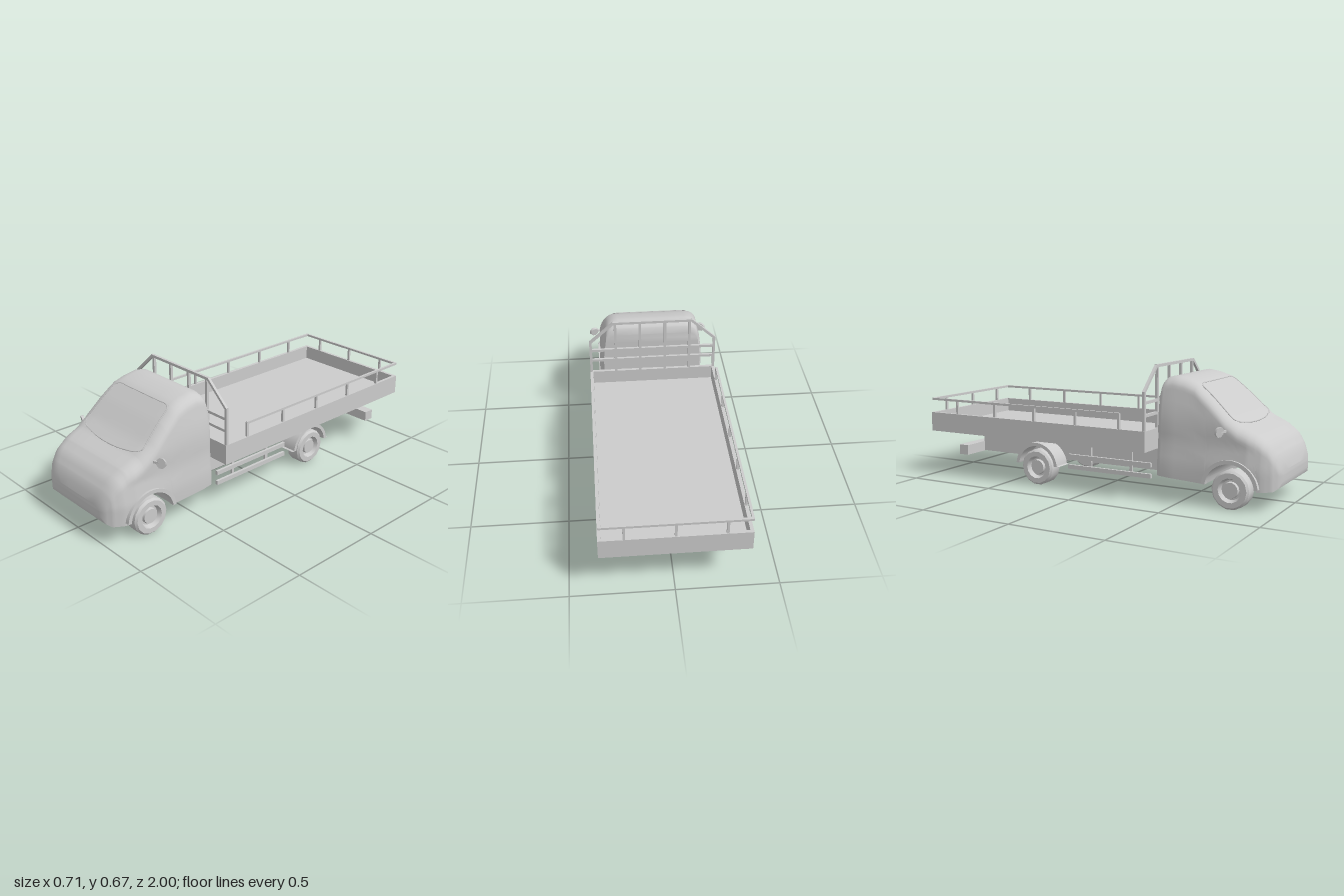
import * as THREE from 'three';
import { toCreasedNormals } from 'three/addons/utils/BufferGeometryUtils.js';

const material = new THREE.MeshStandardMaterial({ color: 0xcccccc, side: THREE.DoubleSide });

function add(parent, name, geometry, x = 0, y = 0, z = 0) {
  const mesh = new THREE.Mesh(geometry, material);
  mesh.name = name;
  mesh.position.set(x, y, z);
  parent.add(mesh);
  return mesh;
}

// box given by its limits on each axis
function box(parent, name, x0, x1, y0, y1, z0, z1) {
  return add(parent, name, new THREE.BoxGeometry(x1 - x0, y1 - y0, z1 - z0),
    (x0 + x1) / 2, (y0 + y1) / 2, (z0 + z1) / 2);
}

// straight square bar between two points
function bar(parent, name, a, b, t = 0.012) {
  const p = new THREE.Vector3(...a), q = new THREE.Vector3(...b);
  const mesh = new THREE.Mesh(new THREE.BoxGeometry(t, t, p.distanceTo(q) + t * 0.6), material);
  mesh.name = name;
  mesh.position.copy(p).lerp(q, 0.5);
  mesh.lookAt(q);
  parent.add(mesh);
}

// piecewise linear curve through [position, value] pairs
function curve(points, s) {
  if (s <= points[0][0]) return points[0][1];
  for (let i = 1; i < points.length; i++) {
    const [a, va] = points[i - 1], [b, vb] = points[i];
    if (s <= b) return va + (vb - va) * (s - a) / (b - a);
  }
  return points[points.length - 1][1];
}

// cab outline rules
const FRONT = 0.77, REAR = -0.33, ARCH = 0.128;
const TOP = [[0.383, 0.56], [0.39, 0.595], [0.405, 0.612], [0.45, 0.622], [0.51, 0.612], [0.57, 0.592],
  [0.65, 0.528], [0.74, 0.445], [0.8, 0.402], [0.88, 0.367], [0.94, 0.325], [0.975, 0.275], [0.99, 0.24], [1, 0.2]];
const BOTTOM = [[0.383, 0.13], [0.64, 0.115], [0.89, 0.1], [0.97, 0.105], [0.99, 0.12], [1, 0.15]];
const PLAN = [[0.383, 0.95], [0.395, 0.98], [0.45, 1], [0.85, 0.985], [0.92, 0.94], [0.965, 0.86], [0.99, 0.76], [1, 0.65]];
const WIDTH = [[0.1, 0.295], [0.2, 0.3], [0.3, 0.287], [0.4, 0.29], [0.5, 0.277], [0.56, 0.262], [0.62, 0.235]];

function cabSection(z) {
  const top = curve(TOP, z), d = z - FRONT;
  const arch = Math.abs(d) < ARCH ? 0.1 + Math.sqrt(ARCH * ARCH - d * d) : 0;
  const bottom = Math.max(curve(BOTTOM, z), arch);
  const rx = 0.075, ry = Math.min(0.06, (top - bottom) * 0.45), shoulder = top - ry;
  const width = y => curve(WIDTH, y) * curve(PLAN, z);
  return { top, bottom, rx, ry, shoulder, width, flat: width(shoulder) - rx };
}

function cabTopY(x, z) {
  const s = cabSection(z), over = Math.max(0, Math.abs(x) - s.flat) / s.rx;
  return s.shoulder + s.ry * Math.sqrt(Math.max(0, 1 - over * over));
}

function cabGeometry() {
  const zs = [...TOP, ...BOTTOM, ...PLAN].map(p => p[0]);
  for (let i = 0; i <= 16; i++) zs.push(FRONT + ARCH * Math.cos(Math.PI * i / 16));
  for (const z of [0.42, 0.48, 0.54, 0.6, 0.91, 0.955, 0.983]) zs.push(z);
  const stations = [...new Set(zs.map(z => +z.toFixed(4)))].sort((a, b) => a - b);
  const pos = [], index = [];
  let n = 0;
  for (const z of stations) {
    const s = cabSection(z), half = [];
    for (let i = 0; i < 9; i++) {
      const y = s.bottom + (s.shoulder - s.bottom) * i / 8;
      half.push([s.width(y), y]);
    }
    for (let i = 1; i <= 6; i++) {
      const a = Math.PI / 2 * i / 6;
      half.push([s.flat + s.rx * Math.cos(a), s.shoulder + s.ry * Math.sin(a)]);
    }
    half.push([s.flat / 2, s.top]);
    const ring = [...half, ...half.slice().reverse().map(([x, y]) => [-x, y])];
    n = ring.length;
    for (const [x, y] of ring) pos.push(x, y, z);
  }
  for (let i = 0; i < stations.length - 1; i++) {
    for (let j = 0; j < n; j++) {
      const k = (j + 1) % n, a = i * n + j, b = i * n + k;
      index.push(a, b, b + n, a, b + n, a + n);
    }
  }
  // rear wall and nose caps
  const last = (stations.length - 1) * n;
  for (let j = 0; j < n / 2 - 1; j++) {
    const m = n - 1 - j;
    index.push(j, m, j + 1, m, m - 1, j + 1);
    index.push(last + j, last + j + 1, last + m, last + m, last + j + 1, last + m - 1);
  }
  const g = new THREE.BufferGeometry();
  g.setAttribute('position', new THREE.Float32BufferAttribute(pos, 3));
  g.setIndex(index);
  g.computeVertexNormals();
  return toCreasedNormals(g, 0.75);
}

// windscreen point, u across and v from bottom to top
function screenPoint(u, v, lift) {
  const x = u * (0.232 - 0.027 * v), z = 0.805 - 0.23 * v - 0.03 * u * u * (1 - v);
  return new THREE.Vector3(x, cabTopY(x, z) + lift, z + lift);
}

// arched strip around a wheel, running along x
function archStrip(parent, name, inner, outer, x0, x1, z, flange) {
  const s = new THREE.Shape(), e = 0.12;
  s.absarc(0, 0, outer, e, Math.PI - e, false);
  if (flange) s.lineTo(-outer - 0.01, 0.012).lineTo(-inner, 0.012);
  s.absarc(0, 0, inner, Math.PI - e, e, true);
  if (flange) s.lineTo(inner, 0.012).lineTo(outer + 0.01, 0.012);
  const g = new THREE.ExtrudeGeometry(s, { depth: x1 - x0, bevelEnabled: false, curveSegments: 14 });
  add(parent, name, toCreasedNormals(g, 0.6), x0, 0.1, z).rotation.y = Math.PI / 2;
}

export function createModel() {
  const model = new THREE.Group();
  model.name = 'flatbedTruck';

  // cab with windscreen and its seal
  const cab = new THREE.Group();
  cab.name = 'cab';
  model.add(cab);
  add(cab, 'cabBody', cabGeometry());
  const screen = new THREE.PlaneGeometry(2, 1, 20, 12), p = screen.attributes.position;
  for (let i = 0; i < p.count; i++) {
    const q = screenPoint(p.getX(i), p.getY(i) + 0.5, 0.002);
    p.setXYZ(i, q.x, q.y, q.z);
  }
  screen.computeVertexNormals();
  add(cab, 'windscreen', screen);
  const edge = [];
  for (const [u0, v0, u1, v1] of [[-1, 0, 1, 0], [1, 0, 1, 1], [1, 1, -1, 1], [-1, 1, -1, 0]])
    for (let i = 0; i < 8; i++) edge.push(screenPoint(u0 + (u1 - u0) * (i + 0.5) / 8, v0 + (v1 - v0) * (i + 0.5) / 8, 0.002));
  add(cab, 'windscreenSeal', new THREE.TubeGeometry(new THREE.CatmullRomCurve3(edge, true), 96, 0.003, 5, true));

  // wheel profile: tyre, recessed rim and hub
  const profile = [[0, -0.045], [0.086, -0.045], [0.096, -0.034], [0.096, 0.034], [0.086, 0.045],
    [0.06, 0.045], [0.05, 0.02], [0.041, 0.02], [0.038, 0.036], [0, 0.036]].map(q => new THREE.Vector2(...q));
  const wheelGeometry = toCreasedNormals(new THREE.LatheGeometry(profile, 14), 0.6);

  for (const side of [1, -1]) {
    const tag = side > 0 ? 'left' : 'right';
    const span = (a, b) => side > 0 ? [a, b] : [-b, -a];
    add(model, tag + 'FrontWheel', wheelGeometry, side * 0.247, 0.097, FRONT).rotation.z = -side * Math.PI / 2;
    add(model, tag + 'RearWheel', wheelGeometry, side * 0.255, 0.097, REAR).rotation.z = -side * Math.PI / 2;
    archStrip(cab, tag + 'WheelArchTrim', 0.126, 0.145, ...span(0.27, 0.302), FRONT, false);
    archStrip(model, tag + 'RearFender', 0.112, 0.13, ...span(0.2, 0.3), REAR, true);

    // mirror on a short arm
    const mirror = add(cab, tag + 'Mirror', new THREE.CylinderGeometry(0.027, 0.024, 0.014, 8), side * 0.322, 0.38, 0.724);
    mirror.rotation.set(Math.PI / 2, Math.PI / 8, -side * 0.4);
    bar(cab, tag + 'MirrorArm', [side * 0.275, 0.38, 0.745], [side * 0.31, 0.38, 0.73]);

    // side guards below the bed
    for (const y of [0.12, 0.176]) box(model, tag + 'GuardRail', ...span(0.276, 0.29), y - 0.011, y + 0.011, -0.135, 0.35);
    for (const z of [0.23, -0.01]) box(model, tag + 'GuardPost', ...span(0.264, 0.276), 0.11, 0.255, z - 0.008, z + 0.008);

    // bed side wall and railing
    box(model, tag + 'BedWall', ...span(0.338, 0.355), 0.25, 0.355, -1, 0.35);
    bar(model, tag + 'Rail', [side * 0.346, 0.43, 0.2], [side * 0.346, 0.43, -0.992]);
    for (const z of [0.2, -0.055, -0.31, -0.565, -0.82])
      bar(model, tag + 'RailPost', [side * 0.346, 0.35, z], [side * 0.346, 0.43, z]);
  }

  // bed floor, end walls and rear railing
  box(model, 'bedFloor', -0.34, 0.34, 0.251, 0.278, -0.99, 0.34);
  box(model, 'bedFrontWall', -0.34, 0.34, 0.25, 0.355, 0.333, 0.35);
  box(model, 'bedTailWall', -0.34, 0.34, 0.25, 0.355, -1, -0.983);
  bar(model, 'tailRail', [-0.346, 0.43, -0.992], [0.346, 0.43, -0.992]);
  for (const x of [-0.235, 0, 0.235]) bar(model, 'tailRailPost', [x, 0.35, -0.992], [x, 0.43, -0.992]);

  // headboard frame behind the cab
  const z = 0.341, t = 0.014;
  const frame = [[-0.347, 0.35], [-0.347, 0.548], [-0.218, 0.665], [0.218, 0.665], [0.347, 0.548], [0.347, 0.35]];
  for (let i = 1; i < frame.length; i++) bar(model, 'headboardFrame', [...frame[i - 1], z], [...frame[i], z], t);
  for (const y of [0.43, 0.494]) bar(model, 'headboardRail', [-0.345, y, z], [0.345, y, z], t);
  for (const x of [-0.207, -0.07, 0.07, 0.207]) bar(model, 'headboardBar', [x, 0.35, z], [x, 0.66, z], t);

  // chassis, rear bumper and rear axle
  box(model, 'chassis', -0.18, 0.18, 0.13, 0.252, -0.77, 0.35);
  box(model, 'rearBumper', -0.33, 0.33, 0.128, 0.182, -0.825, -0.768);
  add(model, 'rearAxle', new THREE.CylinderGeometry(0.02, 0.02, 0.44, 10), 0, 0.097, REAR).rotation.z = Math.PI / 2;
  return model;
}
